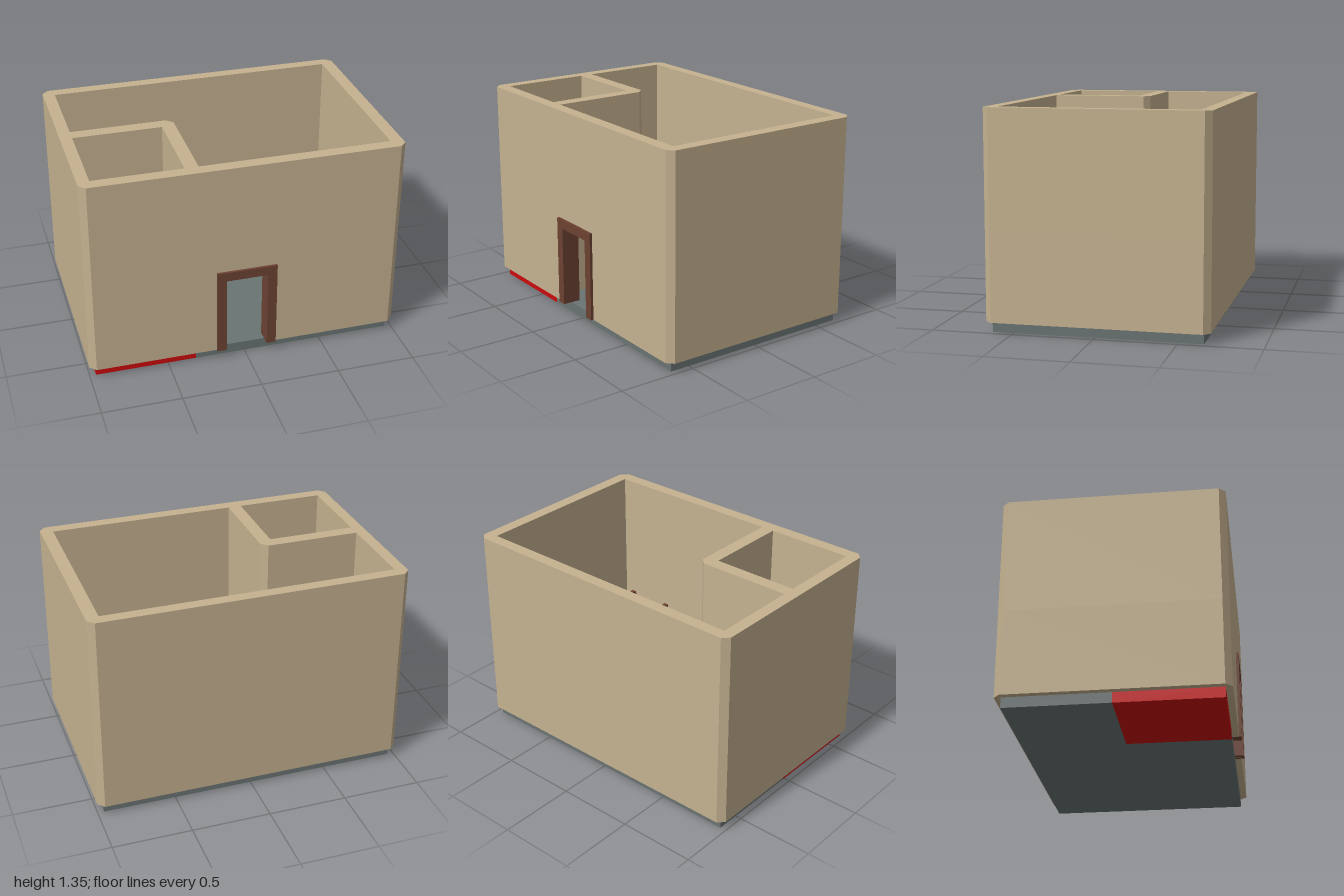
import * as THREE from 'three';

const mat = (name, color) => {
  const m = new THREE.MeshStandardMaterial({ color });
  m.name = name;
  return m;
};

export function createModel() {
  const root = new THREE.Group();
  root.name = 'mineRoom';
  const sand = mat('sandstone', 0xc5b290);
  const grey = mat('slateFloor', 0x6a7473);
  const red = mat('redFloor', 0xcc0a0c);
  const brown = mat('darkWood', 0x6c4232);
  const tieWood = mat('sleeperWood', 0xbf6848);
  const steel = mat('paleSteel', 0xa9bcc2);
  const ore = mat('copperOre', 0xd19c69);
  ore.flatShading = true;
  sand.flatShading = true;

  const add = (name, geo, m, parent = root) => {
    const mesh = new THREE.Mesh(geo, m);
    mesh.name = name;
    parent.add(mesh);
    return mesh;
  };
  // box from its min and max corners
  const box = (name, m, x0, x1, y0, y1, z0, z1, parent = root) => {
    const mesh = add(name, new THREE.BoxGeometry(x1 - x0, y1 - y0, z1 - z0), m, parent);
    mesh.position.set((x0 + x1) / 2, (y0 + y1) / 2, (z0 + z1) / 2);
    return mesh;
  };
  // floor plan given as [x, z], raised from y0 to y1
  const plan = (name, m, pts, y0, y1, holes = []) => {
    const v = (a) => a.map(([x, z]) => new THREE.Vector2(x, z));
    const shape = new THREE.Shape(v(pts));
    for (const h of holes) shape.holes.push(new THREE.Path(v(h)));
    const geo = new THREE.ExtrudeGeometry(shape, { depth: y1 - y0, bevelEnabled: false, curveSegments: 24 });
    geo.rotateX(Math.PI / 2);
    geo.translate(0, y1, 0);
    return add(name, geo, m);
  };

  // floor slabs
  const F = 0.065;
  plan('floor', grey, [[-0.96, -0.65], [0.96, -0.65], [0.96, 0.63], [-0.32, 0.63], [-0.32, -0.01], [-0.96, -0.01]], 0, F);
  box('smallRoomFloor', red, -0.96, -0.32, 0, F, -0.01, 0.63);

  // walls: lower course with both doorways, upper course closed
  const outer = [[-0.96, 0.67], [-1, 0.63], [-1, -0.65], [-0.96, -0.69], [0.96, -0.69], [1, -0.65], [1, 0.63], [0.96, 0.67]];
  plan('lowerWalls', sand, [
    [-0.165, 0.67], ...outer, [0.165, 0.67], [0.165, 0.59],
    [0.92, 0.59], [0.92, -0.615], [-0.925, -0.615], [-0.925, -0.055],
    [-0.87, -0.055], [-0.87, 0.03], [-0.925, 0.03], [-0.925, 0.59], [-0.365, 0.59],
    [-0.365, 0.03], [-0.42, 0.03], [-0.42, -0.055], [-0.32, -0.055], [-0.28, -0.015],
    [-0.28, 0.59], [-0.165, 0.59],
  ], F, 0.6);
  plan('upperWalls', sand, outer, 0.6, 1.345, [
    [[0.92, 0.59], [0.92, -0.615], [-0.925, -0.615], [-0.925, -0.055], [-0.32, -0.055], [-0.28, -0.015], [-0.28, 0.59]],
    [[-0.925, 0.03], [-0.925, 0.59], [-0.365, 0.59], [-0.365, 0.03]],
  ]);

  // door frames
  const doorFrame = (name, x0, x1, z0, z1, w) => {
    const g = new THREE.Group();
    g.name = name;
    root.add(g);
    box('leftJamb', brown, x1 - w, x1, F, 0.64, z0, z1, g);
    box('rightJamb', brown, x0, x0 + w, F, 0.64, z0, z1, g);
    box('lintel', brown, x0 + w, x1 - w, 0.58, 0.64, z0, z1, g);
  };
  doorFrame('frontDoorFrame', -0.193, 0.19, 0.57, 0.687, 0.06);
  doorFrame('innerDoorFrame', -0.9, -0.39, -0.073, -0.0 + 0.046, 0.07);

  // two rails: quarter turn, straight, quarter turn
  for (const [a, b] of [[0.425, 0.265], [0.265, 0.425]]) {
    const band = (o) => {
      const p = new THREE.Path();
      p.absarc(-0.3, -0.68, a + o, Math.PI, Math.PI / 2, true);
      p.absarc(0.32, 0.01, b - o, -Math.PI / 2, 0, false);
      p.lineTo(0.32 + b - o, 0.3);
      return p.getPoints(20).map((q) => [q.x, q.y]);
    };
    plan('rail', steel, [...band(-0.013), ...band(0.013).reverse()], F, 0.1);
  }
  // sleepers, straight and along the turn
  for (let i = 0; i < 5; i++) {
    const x = -0.365 + i * 0.16;
    box('sleeper', tieWood, x, x + (i < 4 ? 0.08 : 0.04), F, 0.085, -0.46, -0.2);
  }
  for (const deg of [31, 58]) {
    const t = THREE.MathUtils.degToRad(deg);
    const s = add('turnSleeper', new THREE.BoxGeometry(0.08, 0.02, 0.26), tieWood);
    s.position.set(-0.3 - 0.345 * Math.sin(t), 0.075, -0.68 + 0.345 * Math.cos(t));
    s.rotation.y = -t;
  }

  // spoked wheel leaning on the wall
  const wheel = new THREE.Group();
  wheel.name = 'spareWheel';
  root.add(wheel);
  const ring = (name, m, r0, r1, z0, z1) => {
    const s = new THREE.Shape().absarc(0, 0, r1, 0, Math.PI * 2);
    s.holes.push(new THREE.Path().absarc(0, 0, r0, 0, Math.PI * 2));
    const g = new THREE.ExtrudeGeometry(s, { depth: z1 - z0, bevelEnabled: false, curveSegments: 24 });
    g.translate(0, 0, z0);
    add(name, g, m, wheel);
  };
  ring('tyre', steel, 0.178, 0.195, -0.045, 0.0);
  ring('rim', brown, 0.15, 0.192, -0.035, 0.012);
  const hub = add('hub', new THREE.CylinderGeometry(0.035, 0.035, 0.07, 12), brown, wheel);
  hub.rotation.x = Math.PI / 2;
  hub.position.z = -0.01;
  for (let i = 0; i < 10; i++) {
    const g = new THREE.BoxGeometry(0.14, 0.02, 0.02);
    g.translate(0.09, 0, -0.01);
    add('spoke', g, brown, wheel).rotation.z = (i * Math.PI) / 5;
  }
  wheel.rotation.set(0, Math.PI / 2, 0);
  wheel.rotateX(-0.25);
  wheel.position.set(-0.852, 0.26, -0.335);

  // eight-sided roller under the cart
  const roller = add('roller', new THREE.CylinderGeometry(0.16, 0.16, 0.545, 8), sand);
  roller.rotation.z = Math.PI / 2;
  roller.position.set(0.637, F + 0.16, 0.18);

  // cart: bed, sides, ends, shafts with pointed tips and a crossbar
  const cart = new THREE.Group();
  cart.name = 'cart';
  root.add(cart);
  box('bed', brown, 0.45, 0.83, 0.385, 0.41, -0.13, 0.49, cart);
  for (const z of [-0.145, 0.47]) box('endBoard', brown, 0.43, 0.847, 0.4, 0.5, z, z + 0.03, cart);
  for (const s of [-1, 1]) {
    const cx = 0.64 + s * 0.152;
    const sx = 0.64 + s * 0.192;
    box('sideBoard', brown, sx - 0.01, sx + 0.01, 0.385, 0.48, -0.145, 0.5, cart);
    box('shaft', brown, cx - 0.016, cx + 0.016, 0.49, 0.53, -0.29, 0.53, cart);
    const g = new THREE.CylinderGeometry(0.007, 0.0226, 0.1, 4);
    g.rotateY(Math.PI / 4);
    g.rotateX(-Math.PI / 2);
    add('shaftTip', g, brown, cart).position.set(cx, 0.51, -0.34);
    for (const z of [-0.17, 0.5]) box('post', brown, cx - 0.022, cx + 0.022, 0.385, 0.52, z, z + 0.025, cart);
  }
  box('crossbar', brown, 0.49, 0.79, 0.495, 0.525, -0.285, -0.255, cart);

  // ore lumps
  for (const [x, y, z, r, t] of [[0.69, 0.48, 0.01, 0.105, 0.4], [0.635, 0.51, 0.18, 0.155, 0], [0.58, 0.48, 0.35, 0.1, 1.1], [0.71, 0.46, 0.26, 0.08, 0.7]]) {
    const lump = add('oreLump', new THREE.IcosahedronGeometry(r, 1), ore, cart);
    lump.position.set(x, y, z);
    lump.rotation.set(t, t * 2, 0.3);
  }
  return root;
}
